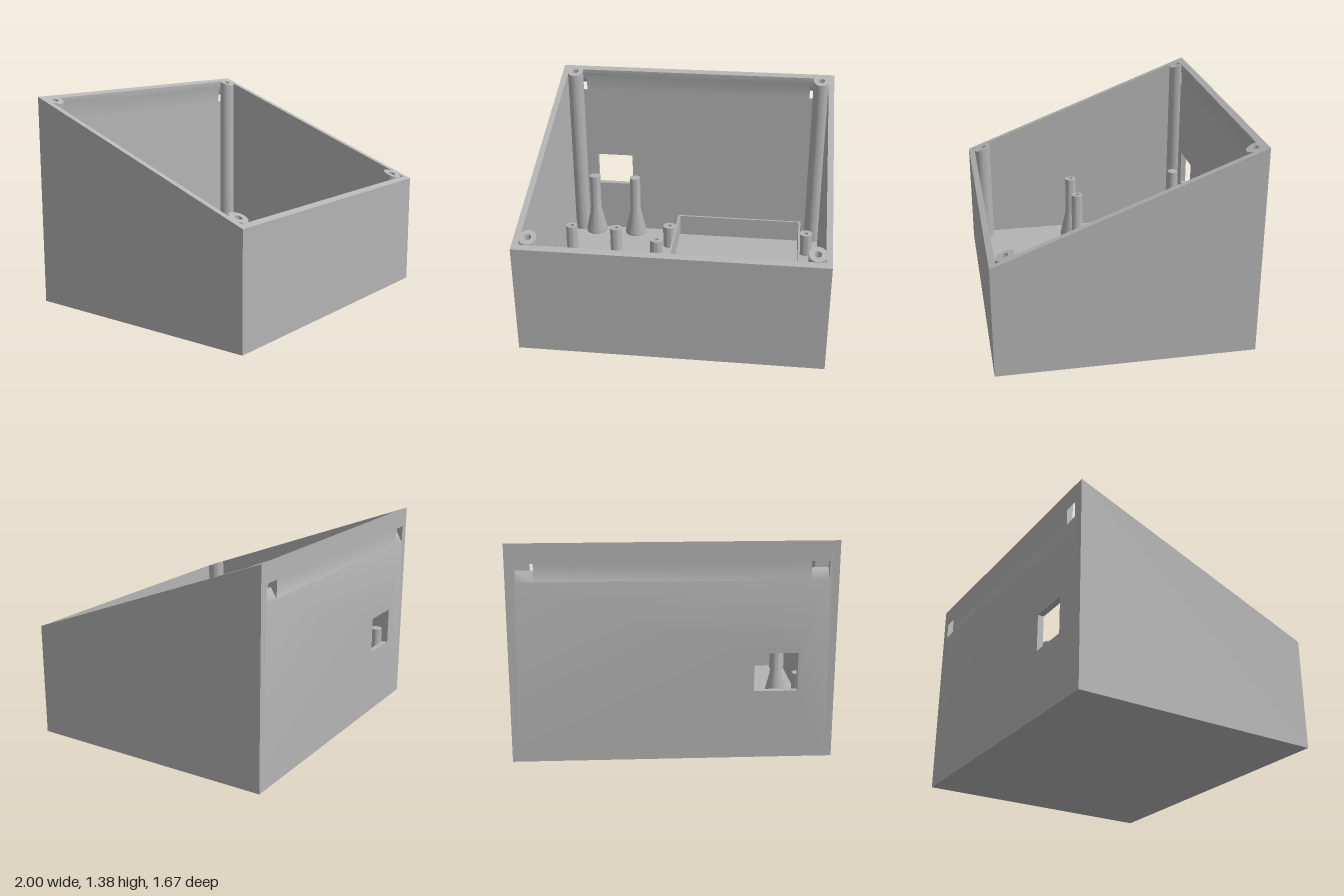
import * as THREE from 'three';
import { toCreasedNormals } from 'three/addons/utils/BufferGeometryUtils.js';

const W = 1, D = 0.837, T = 0.04, FLOOR = 0.05;
const FRONT_H = 0.745, BACK_H = 1.385;
const OPEN_TOP = 2; // marker height, later cut to the sloping rim
const rimHeight = (z) => FRONT_H + ((BACK_H - FRONT_H) * (D - z)) / (2 * D);

export function createModel() {
  const model = new THREE.Group();
  model.name = 'slopedEnclosure';
  const grey = new THREE.MeshStandardMaterial({ color: 0xb4b4b4 });
  grey.name = 'grey plastic';

  const add = (name, geometry, x = 0, y = 0, z = 0) => {
    const mesh = new THREE.Mesh(geometry, grey);
    mesh.name = name;
    mesh.position.set(x, y, z);
    model.add(mesh);
    return mesh;
  };
  const box = (name, x0, x1, y0, y1, z0, z1) =>
    add(name, new THREE.BoxGeometry(x1 - x0, y1 - y0, z1 - z0), (x0 + x1) / 2, (y0 + y1) / 2, (z0 + z1) / 2);
  const polygon = (pts, Type = THREE.Shape) => new Type(pts.map((p) => new THREE.Vector2(...p)));
  const rect = (x0, x1, y0, y1, Type) => polygon([[x0, y0], [x1, y0], [x1, y1], [x0, y1]], Type);
  const extrude = (shape, depth) => new THREE.ExtrudeGeometry(shape, { depth, bevelEnabled: false, curveSegments: 24 });

  // Move vertices by a rule, then rebuild the normals
  const reshape = (geometry, rule) => {
    const p = geometry.attributes.position, v = new THREE.Vector3();
    for (let i = 0; i < p.count; i++) {
      rule(v.fromBufferAttribute(p, i));
      p.setXYZ(i, v.x, v.y, v.z);
    }
    geometry.computeVertexNormals();
    return toCreasedNormals(geometry, 0.6);
  };
  const cutToRim = (v) => {
    if (v.y > OPEN_TOP - 0.01) v.y = rimHeight(v.z);
  };

  // Floor
  box('floor', -W + T, W - T, 0, FLOOR, -D + T, D - T);

  // Side walls with the sloping upper edge
  for (const [name, x] of [['rightWall', -W], ['leftWall', W - T]]) {
    const side = polygon([[-D, 0], [D, 0], [D, BACK_H], [-D, FRONT_H]]);
    const geometry = extrude(side, T);
    geometry.rotateY(Math.PI / 2);
    add(name, geometry, x);
  }

  // Front wall
  const front = extrude(rect(-W + T, W - T, 0, OPEN_TOP), T);
  front.translate(0, 0, D - T);
  add('frontWall', reshape(front, cutToRim));

  // Back wall with a connector window and two slanted slots
  const backShape = rect(-W + T, W - T, 0, OPEN_TOP);
  backShape.holes.push(
    rect(-0.77, -0.5, 0.44, 0.685, THREE.Path),
    rect(-0.94, -0.83, 1.148, 1.26, THREE.Path),
    rect(0.83, 0.94, 1.148, 1.26, THREE.Path),
  );
  const back = extrude(backShape, T);
  back.translate(0, 0, -D);
  add('backWall', reshape(back, (v) => {
    const inSlot = v.y > 1.1 && v.y < 1.3;
    if (inSlot && v.z > -D + T / 2) v.y += 0.065;
    cutToRim(v);
  }));

  // Corner screw posts, cut to the slope
  for (const x of [-0.91, 0.91]) {
    for (const z of [-0.777, 0.738]) {
      const ring = new THREE.Shape().absarc(0, 0, 0.057, 0, Math.PI * 2);
      ring.holes.push(new THREE.Path().absarc(0, 0, 0.023, 0, Math.PI * 2, true));
      const geometry = extrude(ring, OPEN_TOP - FLOOR);
      geometry.rotateX(-Math.PI / 2);
      geometry.translate(x, FLOOR, z);
      add('screwPost', reshape(geometry, (v) => {
        v.z = Math.max(v.z, -D + T);
        v.x = THREE.MathUtils.clamp(v.x, -W + T / 2, W - T / 2);
        cutToRim(v);
      }));
    }
  }

  // Turned standoffs
  const lathe = (points) =>
    toCreasedNormals(new THREE.LatheGeometry(points.map((p) => new THREE.Vector2(...p)), 32), 0.4);
  const tall = [[0.082, FLOOR], [0.082, 0.07], [0.04, 0.25], [0.04, 0.525]];
  const solidTall = lathe([...tall, [0, 0.525]]);
  const drilledTall = lathe([...tall, [0.017, 0.525], [0.017, 0.4], [0, 0.4]]);
  for (const x of [-0.79, -0.475]) {
    add('tallStandoff', solidTall, x, 0, -0.738);
    add('tallStandoff', drilledTall, x, 0, 0.08);
  }
  const short = lathe([[0.048, FLOOR], [0.048, 0.22], [0.016, 0.22], [0.016, 0.08], [0, 0.08]]);
  const shortSpots = [
    [-0.182, -0.55], [-0.252, -0.325], [-0.252, -0.057], [-0.182, 0.212],
    [0.864, -0.55], [0.864, 0.212], [0.185, 0.735], [0.685, 0.735],
  ];
  for (const [x, z] of shortSpots) add('shortStandoff', short, x, 0, z);

  // Tray walls, with a lowered notch in the front one
  const x0 = -0.135, x1 = 0.82, z0 = -0.75, z1 = 0.41, t = 0.015, h = 0.212;
  box('traySide', x0, x0 + t, FLOOR, h, z0, z1);
  box('traySide', x1 - t, x1, FLOOR, h, z0, z1);
  box('trayBack', x0 + t, x1 - t, FLOOR, h, z0, z0 + t);
  box('trayFront', x0 + t, 0.19, FLOOR, h, z1 - t, z1);
  box('trayFrontNotch', 0.19, 0.41, FLOOR, 0.13, z1 - t, z1);
  box('trayFront', 0.41, x1 - t, FLOOR, h, z1 - t, z1);

  return model;
}
